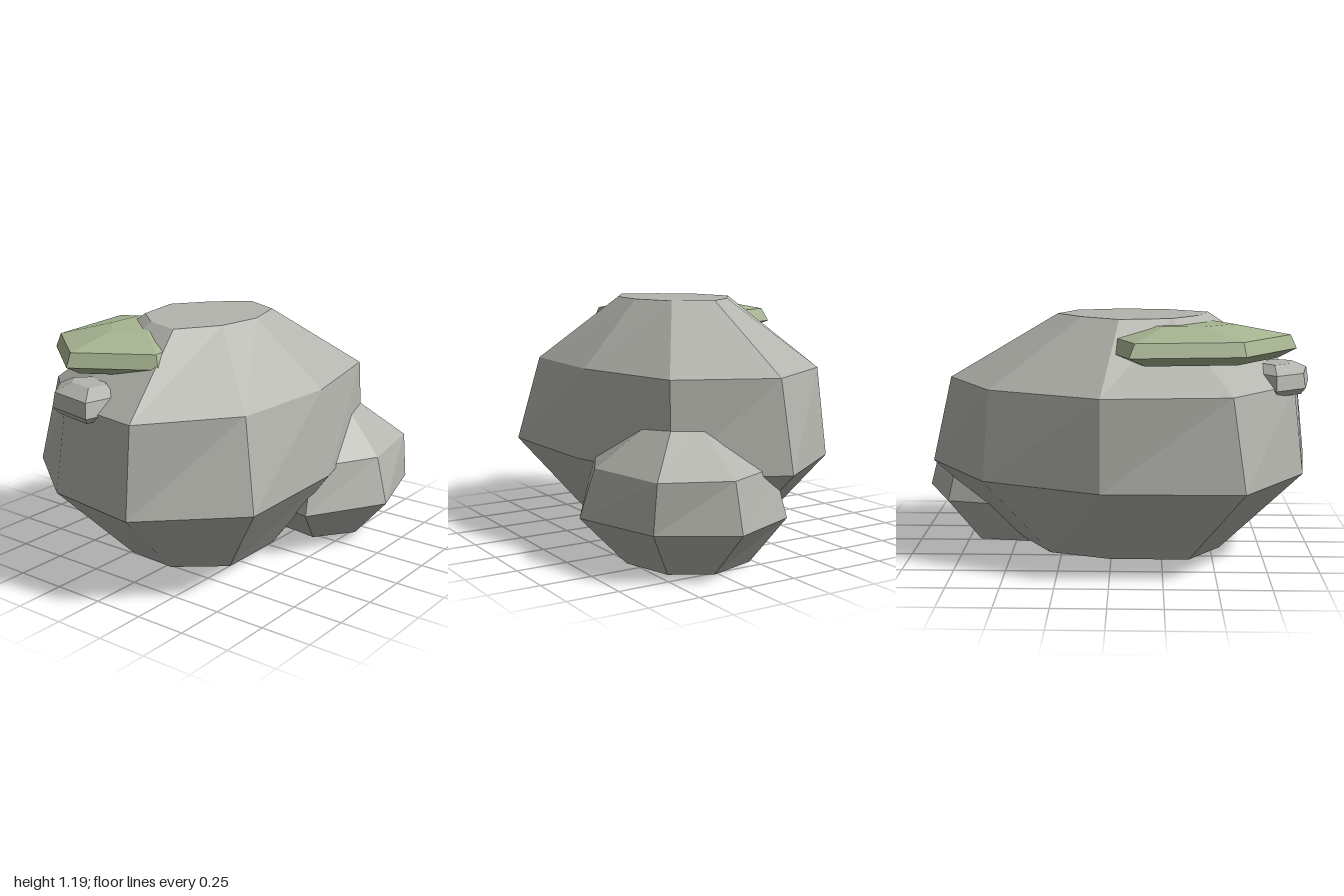
import * as THREE from 'three';

// Faceted solid from stacked rings; each ring is [y, [x, z] ...], anticlockwise seen from above
function stackedRock(name, material, rings) {
  const pos = [];
  const at = (ring, i) => {
    const n = ring.length - 1;
    const p = ring[1 + (i % n)];
    return [p[0], ring[0], p[1]];
  };
  const tri = (a, b, c) => pos.push(...a, ...b, ...c);
  const sides = rings[0].length - 1;
  for (let r = 0; r < rings.length - 1; r++) {
    const lo = rings[r], hi = rings[r + 1];
    for (let i = 0; i < sides; i++) {
      tri(at(lo, i), at(lo, i + 1), at(hi, i + 1));
      tri(at(lo, i), at(hi, i + 1), at(hi, i));
    }
  }
  // flat caps
  const bottom = rings[0], top = rings[rings.length - 1];
  for (let i = 1; i < sides - 1; i++) {
    tri(at(bottom, 0), at(bottom, i + 1), at(bottom, i));
    tri(at(top, 0), at(top, i), at(top, i + 1));
  }
  const geometry = new THREE.BufferGeometry();
  geometry.setAttribute('position', new THREE.Float32BufferAttribute(pos, 3));
  geometry.computeVertexNormals();
  const mesh = new THREE.Mesh(geometry, material);
  mesh.name = name;
  return mesh;
}

// Ring scaled about a centre, for layers of the same outline
function scaledRing(y, outline, scale, cx, cz) {
  return [y, ...outline.map(([x, z]) => [cx + (x - cx) * scale, cz + (z - cz) * scale])];
}

export function createModel() {
  const stone = new THREE.MeshStandardMaterial({ color: 0xb4b4ae, flatShading: true });
  stone.name = 'stone grey';
  const moss = new THREE.MeshStandardMaterial({ color: 0xa7b592, flatShading: true });
  moss.name = 'moss green';

  const group = new THREE.Group();
  group.name = 'mossyRocks';

  // Large nine-sided boulder
  group.add(stackedRock('mainBoulder', stone, [
    [0.03, [0.45, -0.06], [0.30, -0.30], [0.0, -0.40], [-0.38, -0.40], [-0.54, -0.20],
      [-0.56, 0.07], [-0.38, 0.29], [-0.02, 0.29], [0.31, 0.19]],
    [0.44, [0.91, -0.06], [0.60, -0.50], [0.04, -0.73], [-0.62, -0.73], [-0.93, -0.31],
      [-1.0, 0.19], [-0.61, 0.60], [0.04, 0.58], [0.63, 0.41]],
    [0.87, [0.81, -0.06], [0.57, -0.46], [0.04, -0.70], [-0.56, -0.65], [-0.88, -0.28],
      [-0.95, 0.18], [-0.54, 0.50], [0.03, 0.53], [0.60, 0.40]],
    [1.19, [0.27, -0.06], [0.14, -0.22], [-0.04, -0.35], [-0.29, -0.30], [-0.42, -0.15],
      [-0.48, 0.04], [-0.28, 0.17], [-0.05, 0.20], [0.18, 0.13]],
  ]));

  // Seven-sided rock leaning against the front left
  group.add(stackedRock('smallRock', stone, [
    [0, [0.77, 0.27], [0.69, 0.02], [0.44, -0.02], [0.26, 0.12], [0.22, 0.38], [0.41, 0.52], [0.66, 0.45]],
    [0.23, [0.99, 0.27], [0.84, -0.08], [0.40, -0.18], [0.08, 0.06], [-0.04, 0.50], [0.35, 0.73], [0.79, 0.60]],
    [0.46, [0.93, 0.27], [0.79, -0.04], [0.41, -0.13], [0.12, 0.08], [0.04, 0.48], [0.37, 0.66], [0.79, 0.58]],
    [0.66, [0.65, 0.27], [0.58, 0.14], [0.47, 0.12], [0.38, 0.18], [0.36, 0.34], [0.46, 0.42], [0.60, 0.39]],
  ]));

  // Thin stone chip on the right shoulder
  const chip = [[-0.60, -0.20], [-0.78, -0.42], [-0.93, -0.31], [-0.98, -0.05], [-0.80, -0.01]];
  group.add(stackedRock('stoneChip', stone, [
    scaledRing(0.83, chip, 0.85, -0.80, -0.20),
    scaledRing(0.86, chip, 1, -0.80, -0.20),
    scaledRing(0.93, chip, 0.92, -0.80, -0.20),
    scaledRing(0.97, chip, 0.5, -0.78, -0.20),
  ]));

  // Moss slab on the back right of the crown
  const patch = [[0.06, -0.30], [-0.09, -0.65], [-0.62, -0.59], [-0.89, -0.25], [-0.67, 0.11], [-0.20, 0.02]];
  group.add(stackedRock('mossPatch', moss, [
    scaledRing(1.0, patch, 0.8, -0.45, -0.27),
    scaledRing(1.045, patch, 1, -0.45, -0.27),
    scaledRing(1.11, patch, 0.93, -0.45, -0.27),
    [1.16, [-0.15, -0.28], [-0.25, -0.38], [-0.44, -0.38], [-0.59, -0.25], [-0.50, -0.10], [-0.25, -0.12]],
  ]));

  return group;
}
